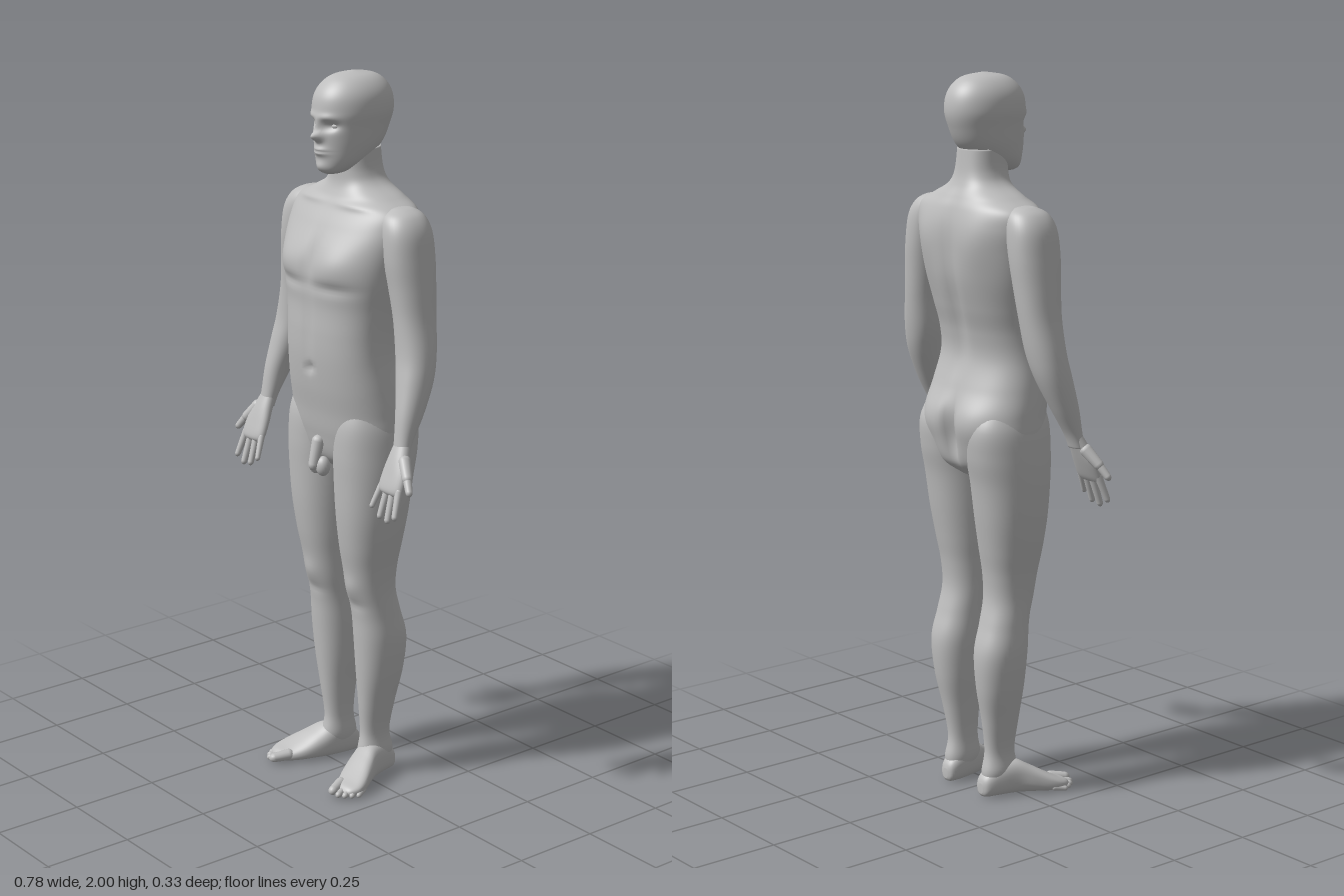
import * as THREE from 'three';

const skin = new THREE.MeshStandardMaterial({ color: 0xbdbdbd });
skin.name = 'matte grey';

// Smooth scalar interpolation through section values
function spline(rows, t, k) {
  const n = rows.length - 1;
  const i = Math.min(Math.floor(t * n), n - 1), f = t * n - i;
  const p = (j) => rows[Math.max(0, Math.min(n, j))][k];
  const a = p(i - 1), b = p(i), c = p(i + 1), d = p(i + 2);
  return b + 0.5 * f * (c - a + f * (2 * a - 5 * b + 4 * c - d + f * (3 * (b - c) + d - a)));
}

// Closed body through sections [y, xMin, xMax, zBack, zFront], listed upwards.
function loft(rows, rings = 60, segs = 48, exponent = 2.2) {
  const pos = [], idx = [];
  const bend = (v) => Math.sign(v) * Math.abs(v) ** (2 / exponent);
  for (let i = 0; i <= rings; i++) {
    const [y, x0, x1, z0, z1] = [0, 1, 2, 3, 4].map((k) => spline(rows, i / rings, k));
    for (let j = 0; j < segs; j++) {
      const a = (j / segs) * Math.PI * 2;
      pos.push((x0 + x1) / 2 + bend(Math.cos(a)) * (x1 - x0) / 2, y,
        (z0 + z1) / 2 + bend(Math.sin(a)) * (z1 - z0) / 2);
      if (i === rings) continue;
      const p = i * segs + j, q = i * segs + (j + 1) % segs;
      idx.push(p, p + segs, q, q, p + segs, q + segs);
    }
  }
  // end caps
  for (const [row, base, top] of [[rows[0], 0, false], [rows[rows.length - 1], rings * segs, true]]) {
    const c = pos.length / 3;
    pos.push((row[1] + row[2]) / 2, row[0], (row[3] + row[4]) / 2);
    for (let j = 0; j < segs; j++) {
      const p = base + j, q = base + (j + 1) % segs;
      if (top) idx.push(c, q, p); else idx.push(c, p, q);
    }
  }
  const g = new THREE.BufferGeometry();
  g.setAttribute('position', new THREE.Float32BufferAttribute(pos, 3));
  g.setIndex(idx);
  g.computeVertexNormals();
  return g;
}

// Push the surface along z with soft mirrored dabs [x, y, z, rx, ry, rz, amount]
function sculpt(g, dabs) {
  const p = g.attributes.position;
  for (let i = 0; i < p.count; i++) {
    const x = Math.abs(p.getX(i)), y = p.getY(i), z = p.getZ(i);
    let dz = 0;
    for (const [cx, cy, cz, rx, ry, rz, amount] of dabs) {
      dz += amount * Math.exp(-(((x - cx) / rx) ** 2) - ((y - cy) / ry) ** 2 - ((z - cz) / rz) ** 2);
    }
    p.setZ(i, z + dz);
  }
  g.computeVertexNormals();
  return g;
}

// Tapered rounded digit between two points
function digit(from, to, r) {
  const a = new THREE.Vector3(...from), b = new THREE.Vector3(...to), d = b.clone().sub(a);
  const len = d.length(), g = new THREE.CapsuleGeometry(r, Math.max(len - r, 0.001), 6, 14);
  const p = g.attributes.position;
  for (let i = 0; i < p.count; i++) {
    const s = 1 - 0.25 * (p.getY(i) / len + 0.5);
    p.setX(i, p.getX(i) * s);
    p.setZ(i, p.getZ(i) * s);
  }
  g.applyQuaternion(new THREE.Quaternion().setFromUnitVectors(new THREE.Vector3(0, 1, 0), d.normalize()));
  a.add(b).multiplyScalar(0.5);
  return g.translate(a.x, a.y, a.z);
}

function ball(x, y, z, rx, ry, rz) {
  return new THREE.SphereGeometry(1, 20, 14).scale(rx, ry, rz).translate(x, y, z);
}

function mirror(g) {
  const m = g.clone().scale(-1, 1, 1), a = m.index.array;
  for (let i = 0; i < a.length; i += 3) [a[i], a[i + 1]] = [a[i + 1], a[i]];
  return m;
}

export function createModel() {
  const model = new THREE.Group();
  model.name = 'standingFigure';
  const add = (name, g) => {
    const m = new THREE.Mesh(g, skin);
    m.name = name;
    model.add(m);
  };
  const pair = (name, g) => {
    add(name + 'Left', g);
    add(name + 'Right', mirror(g));
  };
  const sym = ([y, rx, zb, zf]) => [y, -rx, rx, zb, zf];

  // Torso and neck
  const torso = loft([
    [0.91, 0.05, -0.09, 0.03], [0.95, 0.15, -0.135, 0.075], [1.02, 0.188, -0.15, 0.095],
    [1.09, 0.189, -0.153, 0.106], [1.16, 0.182, -0.13, 0.118], [1.24, 0.172, -0.107, 0.127],
    [1.31, 0.172, -0.113, 0.129], [1.38, 0.181, -0.132, 0.127], [1.46, 0.197, -0.15, 0.13],
    [1.54, 0.21, -0.155, 0.115], [1.6, 0.217, -0.154, 0.087], [1.645, 0.207, -0.145, 0.06],
    [1.675, 0.15, -0.132, 0.043], [1.705, 0.09, -0.117, 0.032], [1.74, 0.068, -0.107, 0.03],
    [1.8, 0.062, -0.1, 0.03],
  ].map(sym), 130, 80, 2.35);
  add('torso', sculpt(torso, [
    [0.09, 1.5, 0.12, 0.075, 0.05, 0.08, 0.014], // chest
    [0.085, 1.442, 0.12, 0.08, 0.016, 0.06, -0.007],
    [0, 1.5, 0.13, 0.016, 0.07, 0.06, -0.01],
    [0, 1.32, 0.13, 0.013, 0.1, 0.05, -0.005], // belly line and navel
    [0, 1.21, 0.125, 0.012, 0.013, 0.04, -0.012],
    [0.1, 1.658, 0.05, 0.07, 0.01, 0.05, 0.006], // collarbones
    [0, 1.4, -0.13, 0.024, 0.22, 0.06, 0.017], // spine
    [0.1, 1.56, -0.14, 0.06, 0.08, 0.06, -0.012], // shoulder blades
    [0.085, 1.06, -0.14, 0.07, 0.06, 0.06, -0.013], // buttocks
    [0, 1.03, -0.15, 0.018, 0.08, 0.07, 0.035],
  ]));

  // Head and face
  const head = loft([
    [1.735, 0.02, 0.02, 0.068], [1.745, 0.04, -0.01, 0.08], [1.77, 0.06, -0.06, 0.085],
    [1.81, 0.074, -0.108, 0.088], [1.86, 0.083, -0.133, 0.091], [1.9, 0.09, -0.143, 0.092],
    [1.94, 0.086, -0.138, 0.085], [1.97, 0.07, -0.12, 0.064], [1.99, 0.044, -0.09, 0.032],
    [2.0, 0.004, -0.034, -0.024],
  ].map(sym), 110, 80, 2.1);
  add('head', sculpt(head, [
    [0.035, 1.866, 0.08, 0.02, 0.013, 0.04, -0.015], // eye sockets
    [0.03, 1.889, 0.085, 0.03, 0.01, 0.04, 0.005], // brow
    [0, 1.862, 0.09, 0.011, 0.025, 0.04, 0.009], // nose
    [0, 1.837, 0.09, 0.015, 0.013, 0.05, 0.024],
    [0, 1.797, 0.088, 0.026, 0.012, 0.04, 0.011], // mouth
    [0, 1.797, 0.088, 0.026, 0.003, 0.05, -0.006],
    [0, 1.755, 0.08, 0.022, 0.014, 0.04, 0.006], // chin
  ]));
  pair('eye', ball(0.035, 1.866, 0.057, 0.014, 0.01, 0.014));

  // Arms
  pair('arm', loft([
    [1.02, 0.272, 0.322, 0.028, 0.066], [1.06, 0.267, 0.32, 0.012, 0.06],
    [1.13, 0.253, 0.323, -0.028, 0.05], [1.21, 0.228, 0.322, -0.066, 0.034],
    [1.28, 0.208, 0.314, -0.085, 0.022], [1.37, 0.195, 0.297, -0.098, 0.02],
    [1.45, 0.18, 0.288, -0.106, 0.026], [1.53, 0.165, 0.279, -0.112, 0.034],
    [1.6, 0.15, 0.268, -0.11, 0.032], [1.64, 0.14, 0.246, -0.098, 0.018],
    [1.658, 0.15, 0.215, -0.075, -0.01], [1.662, 0.175, 0.185, -0.045, -0.035],
  ], 70, 40));

  // Hands, palms forward with thumbs outward
  pair('palm', loft([
    [0.925, 0.268, 0.345, 0.08, 0.1], [0.94, 0.259, 0.349, 0.07, 0.105],
    [0.98, 0.26, 0.347, 0.052, 0.092], [1.02, 0.266, 0.332, 0.036, 0.076],
    [1.06, 0.272, 0.316, 0.02, 0.056],
  ], 24, 28));
  const fingers = [
    [0.268, 0.945, 0.255, 0.882, 0.0095], [0.292, 0.94, 0.288, 0.861, 0.011],
    [0.315, 0.94, 0.32, 0.856, 0.0115], [0.338, 0.945, 0.35, 0.872, 0.011],
  ];
  fingers.forEach(([x0, y0, x1, y1, r], i) =>
    pair('finger' + (i + 1), digit([x0, y0, 0.087], [x1, y1, 0.113], r)));
  pair('thumbBase', digit([0.318, 1.02, 0.055], [0.36, 0.972, 0.077], 0.018));
  pair('thumb', digit([0.35, 0.985, 0.072], [0.381, 0.943, 0.088], 0.0125));

  // Legs
  const leg = loft([
    [0.03, 0.056, 0.106, -0.09, -0.01], [0.07, 0.046, 0.119, -0.098, 0.012],
    [0.13, 0.05, 0.113, -0.088, 0.004], [0.22, 0.046, 0.128, -0.1, 0.012],
    [0.32, 0.036, 0.149, -0.119, 0.021], [0.42, 0.03, 0.16, -0.125, 0.028],
    [0.5, 0.03, 0.156, -0.104, 0.034], [0.57, 0.027, 0.154, -0.088, 0.05],
    [0.64, 0.023, 0.161, -0.091, 0.063], [0.71, 0.016, 0.174, -0.103, 0.076],
    [0.8, 0.009, 0.188, -0.118, 0.087], [0.9, 0.004, 0.196, -0.132, 0.093],
    [0.98, 0.004, 0.196, -0.148, 0.096], [1.06, 0.012, 0.189, -0.15, 0.092],
    [1.13, 0.04, 0.165, -0.11, 0.07],
  ], 90, 48);
  pair('leg', sculpt(leg, [
    [0.092, 0.585, 0.05, 0.03, 0.03, 0.04, 0.006], // kneecap
    [0.092, 0.53, 0.04, 0.035, 0.015, 0.04, -0.004],
  ]));

  // Feet, lofted heel to toe then laid flat: back value is the height
  pair('foot', loft([
    [-0.108, 0.07, 0.088, -0.04, -0.012], [-0.098, 0.054, 0.105, -0.062, -0.002],
    [-0.06, 0.048, 0.12, -0.092, 0], [-0.01, 0.052, 0.138, -0.1, 0],
    [0.03, 0.062, 0.162, -0.08, 0], [0.07, 0.078, 0.186, -0.056, 0],
    [0.1, 0.096, 0.194, -0.04, 0], [0.125, 0.115, 0.185, -0.03, -0.003],
    [0.135, 0.125, 0.17, -0.02, -0.008],
  ], 40, 36, 2.5).rotateX(Math.PI / 2));
  const toes = [
    [0.118, 0.105, 0.139, 0.158, 0.017], [0.14, 0.105, 0.16, 0.154, 0.0115],
    [0.155, 0.1, 0.175, 0.142, 0.011], [0.167, 0.09, 0.187, 0.126, 0.0105],
    [0.177, 0.075, 0.195, 0.108, 0.01],
  ];
  toes.forEach(([x0, z0, x1, z1, r], i) =>
    pair('toe' + (i + 1), digit([x0, r + 0.006, z0], [x1, r, z1], r)));

  // Simplified pelvic anatomy
  add('pelvicFront', digit([0, 1.005, 0.092], [0, 0.925, 0.113], 0.018));
  pair('pelvicLower', ball(0.016, 0.928, 0.09, 0.02, 0.028, 0.02));

  return model;
}
